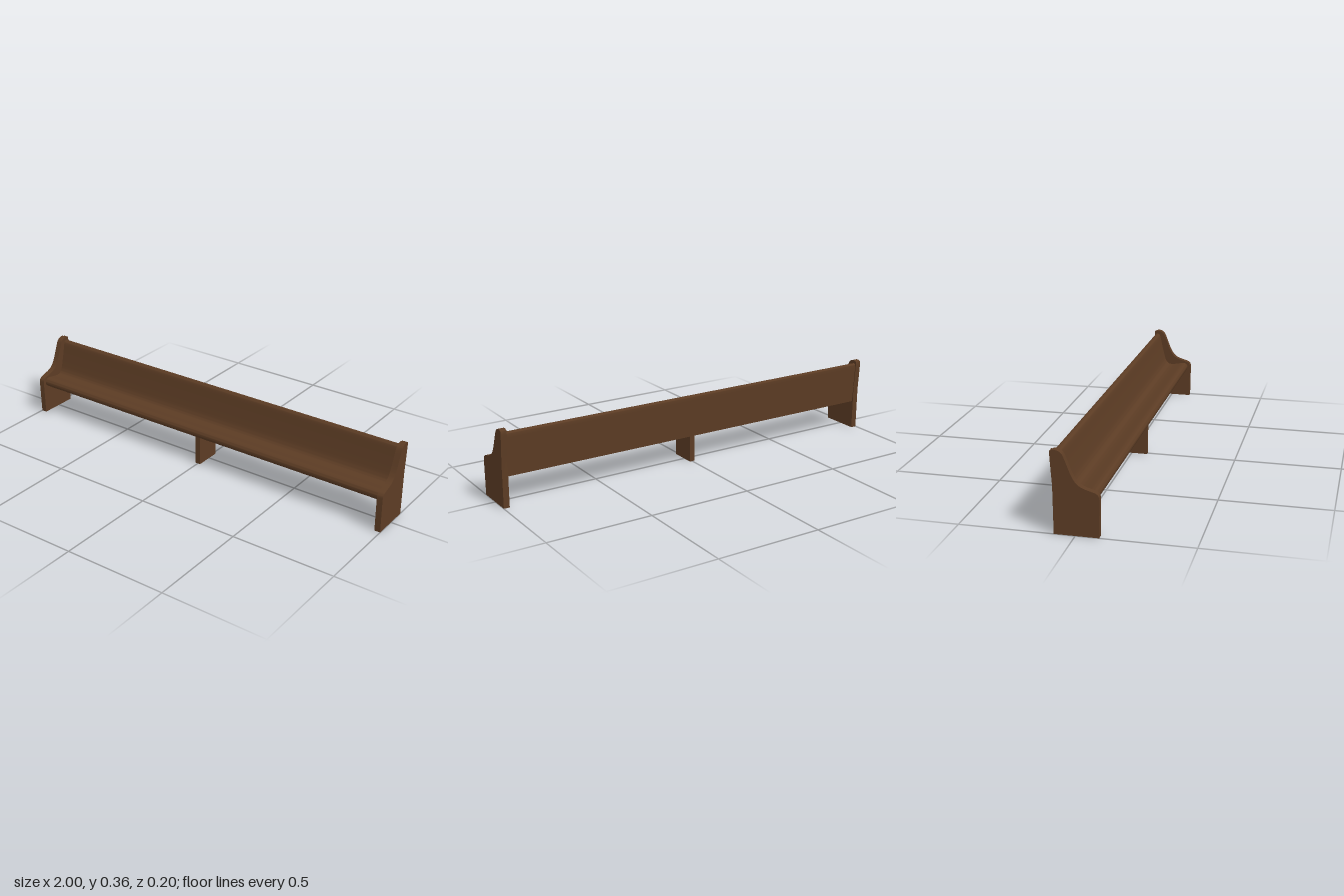
import * as THREE from 'three';
import { toCreasedNormals } from 'three/addons/utils/BufferGeometryUtils.js';

const wood = new THREE.MeshStandardMaterial({ color: 0x5c3c24 });
const END = 0.028; // thickness of the end panels

// Outline in (z, y): straight base corners joined by a smooth curve from front to back
function outline(base, curve) {
  const shape = new THREE.Shape();
  shape.moveTo(...base[0]);
  base.slice(1).forEach((p) => shape.lineTo(...p));
  shape.lineTo(...curve[0]);
  shape.splineThru(curve.slice(1).map((p) => new THREE.Vector2(...p)));
  shape.closePath();
  return shape;
}

// Extrude an outline along x, centred on the given x
function slab(name, shape, width, x = 0) {
  const geo = new THREE.ExtrudeGeometry(shape, { depth: width, bevelEnabled: false, curveSegments: 3 });
  geo.translate(0, 0, -width / 2);
  geo.rotateY(-Math.PI / 2);
  const mesh = new THREE.Mesh(toCreasedNormals(geo, 0.65), wood);
  mesh.name = name;
  mesh.position.x = x;
  return mesh;
}

export function createModel() {
  const pew = new THREE.Group();
  pew.name = 'pew';

  // Scalloped end panels
  const endShape = outline([[-0.09, 0], [0.1, 0]], [
    [0.102, 0.165], [0.099, 0.18], [0.088, 0.191], [0.07, 0.197], [0.035, 0.208], [0.013, 0.221],
    [-0.003, 0.24], [-0.017, 0.267], [-0.031, 0.303], [-0.045, 0.337], [-0.055, 0.352],
    [-0.069, 0.36], [-0.085, 0.362], [-0.096, 0.357], [-0.101, 0.345], [-0.092, 0.21],
  ]);
  for (const side of [-1, 1]) {
    pew.add(slab(side > 0 ? 'leftEndPanel' : 'rightEndPanel', endShape, END, side * (1 - END / 2)));
  }

  // Moulded seat and backrest in one piece, flat underneath
  const seatShape = outline([[-0.085, 0.142], [0.074, 0.142]], [
    [0.083, 0.15], [0.087, 0.163], [0.083, 0.177], [0.07, 0.185], [0.05, 0.184], [0.02, 0.178],
    [-0.008, 0.176], [-0.025, 0.183], [-0.037, 0.202], [-0.048, 0.24], [-0.06, 0.29],
    [-0.069, 0.331], [-0.076, 0.343], [-0.086, 0.347], [-0.094, 0.341], [-0.096, 0.328], [-0.089, 0.21],
  ]);
  pew.add(slab('seatAndBackrest', seatShape, 2 - 2 * END));

  // Centre support under the seat
  const leg = new THREE.Mesh(new THREE.BoxGeometry(0.026, 0.146, 0.127), wood);
  leg.name = 'centreLeg';
  leg.position.set(0, 0.073, 0.012);
  pew.add(leg);

  return pew;
}
